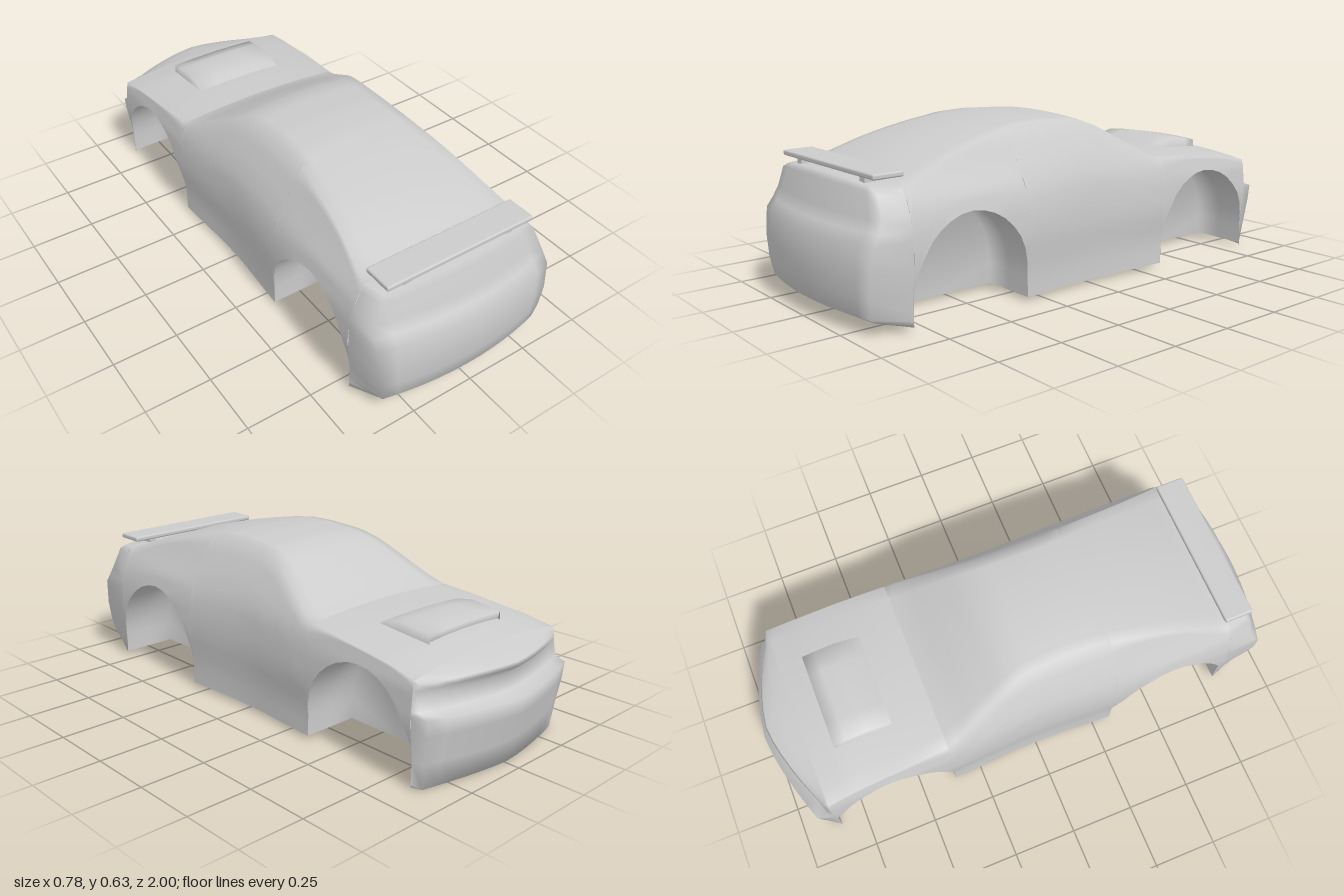
import * as THREE from 'three';
import { mergeGeometries, mergeVertices } from 'three/addons/utils/BufferGeometryUtils.js';
import { RoundedBoxGeometry } from 'three/addons/geometries/RoundedBoxGeometry.js';

// piecewise linear lookup in a list of [key, value...]
function lookup(table, k, c = 1) {
  if (k <= table[0][0]) return table[0][c];
  for (let i = 1; i < table.length; i++) {
    const a = table[i - 1], b = table[i];
    if (k <= b[0]) return a[c] + (b[c] - a[c]) * (k - a[0]) / (b[0] - a[0]);
  }
  return table[table.length - 1][c];
}

// skin through rows of [x, y, z] points
function skin(rows) {
  const n = rows[0].length, index = [];
  for (let i = 0; i < rows.length - 1; i++) {
    for (let j = 0; j < n - 1; j++) {
      const a = i * n + j, c = a + n;
      index.push(a, a + 1, c, a + 1, c + 1, c);
    }
  }
  const g = new THREE.BufferGeometry();
  g.setAttribute('position', new THREE.Float32BufferAttribute(rows.flat(2), 3));
  g.setIndex(index);
  g.computeVertexNormals();
  return g;
}

// half width of the body by height
const WIDTH = [[0, 0.376], [0.11, 0.372], [0.24, 0.388], [0.35, 0.38], [0.42, 0.36],
  [0.5, 0.31], [0.585, 0.262], [0.62, 0.235], [0.64, 0.225]];
// z, centreline height, height of the upper side edge
const TOP = [[-0.85, 0.41, 0.38], [-0.74, 0.435, 0.4], [-0.6, 0.445, 0.415], [-0.48, 0.452, 0.428],
  [-0.36, 0.455, 0.437], [-0.3, 0.485, 0.462], [-0.2, 0.545, 0.522], [-0.1, 0.6, 0.58], [-0.05, 0.618, 0.6],
  [0, 0.628, 0.612], [0.15, 0.635, 0.62], [0.27, 0.63, 0.615], [0.4, 0.61, 0.592],
  [0.5, 0.588, 0.57], [0.6, 0.563, 0.542], [0.7, 0.53, 0.505], [0.77, 0.502, 0.48], [0.8, 0.496, 0.475]];
const ARCHES = [{ z: -0.605, r: 0.245, h: 0.265 }, { z: 0.56, r: 0.24, h: 0.27 }];
const SILL = 0.02, SPRING = 0.1, INNER = 0.15, HALF = 6;

function halfWidth(y, z) {
  const pinch = 0.05 * Math.exp(-((z / 0.27) ** 2)) * THREE.MathUtils.clamp((0.5 - y) / 0.15, 0, 1);
  return lookup(WIDTH, y) * (1 - pinch);
}
const crown = t => 1 - t * t;

// rim of one wheel arch as [z, y]
function archRim({ z, r, h }) {
  const rim = [[z - r, SILL]];
  for (let i = 0; i <= 16; i++) {
    const a = Math.PI * (1 - i / 16);
    rim.push([z + r * Math.cos(a), SPRING + h * Math.sin(a)]);
  }
  rim.push([z + r, SILL]);
  return rim;
}

// cross-section over the car, from the left lower edge to the right one
function section(z, yLow) {
  const yc = lookup(TOP, z, 1), ye = lookup(TOP, z, 2), half = [];
  for (let i = 0; i < 10; i++) {
    const y = yLow + (ye - yLow) * i / 10;
    half.push([halfWidth(y, z), y, z]);
  }
  const w = halfWidth(ye, z);
  for (let i = 0; i < HALF; i++) {
    const t = 1 - i / HALF;
    half.push([w * t, ye + (yc - ye) * crown(t), z]);
  }
  return [...half, [0, yc, z], ...half.map(([x, y, q]) => [-x, y, q]).reverse()];
}

// end cap row: from the side wall, around the corner and across
function capRow(zSide, { y, z, w, set, rise = 0, ySide = y, bend = 1.5 }) {
  const row = [[halfWidth(ySide, zSide), ySide, zSide]];
  for (let i = -HALF; i <= HALF; i++) {
    const t = -i / HALF, a = Math.abs(t);
    row.push([w * t, y + rise * crown(t), z + set * a ** bend]);
  }
  row.push([-row[0][0], ySide, zSide]);
  return row;
}

function bodyShell() {
  // main body, with its lower edge following the wheel arches
  const stations = [];
  const [front, rear] = ARCHES.map(archRim);
  stations.push(...front);
  for (let z = -0.33; z < 0.31; z += 0.03) stations.push([z, SILL]);
  stations.push(...rear);
  const main = skin(stations.map(([z, y]) => section(z, y)));

  // nose: floor, bumper, grille recess, bonnet lip
  const nose = [
    { y: 0.02, z: -0.85, w: 0.376, set: 0 },
    { y: 0.005, z: -0.95, w: 0.35, set: 0.07, ySide: 0.01, rise: 0.008 },
    { y: 0.1, z: -0.965, w: 0.36, set: 0.075 },
    { y: 0.2, z: -0.99, w: 0.368, set: 0.085 },
    { y: 0.262, z: -1, w: 0.372, set: 0.09 },
    { y: 0.275, z: -0.945, w: 0.372, set: 0.075 },
    { y: 0.325, z: -0.925, w: 0.37, set: 0.065 },
    { y: 0.345, z: -0.972, w: 0.366, set: 0.11, rise: 0.02 },
    { y: 0.36, z: -0.965, w: 0.366, set: 0.107, rise: 0.018 },
    { y: 0.372, z: -0.91, w: 0.367, set: 0.053, rise: 0.022, ySide: 0.375 },
    { y: 0.38, z: -0.85, w: halfWidth(0.38, -0.85), set: 0, rise: 0.03 },
  ].map(r => capRow(-0.85, r));

  // tail: boot lid, rear panel, bumper, floor
  const tail = [
    { y: 0.475, z: 0.8, w: halfWidth(0.475, 0.8), set: 0, rise: 0.021 },
    { y: 0.474, z: 0.905, w: 0.308, set: -0.03, rise: 0.018, ySide: 0.465 },
    { y: 0.46, z: 0.925, w: 0.325, set: -0.035, rise: 0.015, ySide: 0.45 },
    { y: 0.385, z: 0.942, w: 0.36, set: -0.045, ySide: 0.39 },
    { y: 0.345, z: 0.965, w: 0.37, set: -0.05 },
    { y: 0.31, z: 0.995, w: 0.372, set: -0.055 },
    { y: 0.21, z: 1, w: 0.366, set: -0.05 },
    { y: 0.13, z: 0.993, w: 0.355, set: -0.045 },
    { y: 0.065, z: 0.98, w: 0.34, set: -0.04 },
    { y: 0.05, z: 0.95, w: 0.335, set: -0.03, ySide: 0.04 },
    { y: SILL, z: 0.8, w: halfWidth(SILL, 0.8), set: 0 },
  ].map(r => capRow(0.8, { bend: 2, ...r }));

  const g = mergeGeometries([main, skin(nose), skin(tail)]);
  g.deleteAttribute('normal');
  const welded = mergeVertices(g, 1e-4);
  welded.computeVertexNormals();
  return welded;
}

// wheel housing: rim carried inward, closed by a fan on the inner wall
function wheelHousing(arch, side) {
  const rim = archRim(arch);
  const rows = [1, 0.5, 0].map(k => rim.map(([z, y]) =>
    [side * (INNER + (halfWidth(y, z) - INNER) * k), y, z]));
  rows.push(rim.map(() => [side * INNER, SILL, arch.z]));
  if (side < 0) rows.reverse();
  const g = skin(rows);
  g.deleteAttribute('normal');
  const welded = mergeVertices(g, 1e-4);
  welded.computeVertexNormals();
  return welded;
}

export function createModel() {
  const car = new THREE.Group();
  car.name = 'carBody';
  const paint = new THREE.MeshStandardMaterial({ color: 0xcccccc, side: THREE.DoubleSide });
  const add = (name, geometry, x = 0, y = 0, z = 0) => {
    const mesh = new THREE.Mesh(geometry, paint);
    mesh.name = name;
    mesh.position.set(x, y, z);
    car.add(mesh);
    return mesh;
  };

  add('bodyShell', bodyShell());

  // underside: wide between the axles, narrow between the wheels
  const across = (w, z) => [[-w, SILL, z], [w, SILL, z]];
  add('floorSpine', skin([across(INNER, -0.85), across(INNER, 0.8)]));
  for (const side of [-1, 1]) {
    const rows = [];
    for (let i = 0; i <= 12; i++) {
      const z = -0.36 + 0.68 * i / 12, w = halfWidth(SILL, z);
      rows.push(side > 0 ? [[INNER, SILL, z], [w, SILL, z]] : [[-w, SILL, z], [-INNER, SILL, z]]);
    }
    add(side > 0 ? 'leftFloor' : 'rightFloor', skin(rows));
    ARCHES.forEach((arch, i) => add(
      (side > 0 ? 'left' : 'right') + (i ? 'Rear' : 'Front') + 'WheelHousing', wheelHousing(arch, side)));
  }

  // bonnet scoop, open edge towards the nose
  const scoop = [[-0.735, 0.42], [-0.75, 0.458], [-0.7, 0.466], [-0.62, 0.474], [-0.56, 0.462], [-0.52, 0.446]];
  add('bonnetScoop', skin(scoop.map(([z, y]) => [
    [0.19, 0.415, z], [0.185, y - 0.004, z], [0.1, y, z], [0, y + 0.002, z],
    [-0.1, y, z], [-0.185, y - 0.004, z], [-0.19, 0.415, z]])));

  // rear wing on two posts
  add('rearWing', new RoundedBoxGeometry(0.62, 0.02, 0.115, 2, 0.007), 0, 0.513, 0.838);
  for (const side of [-1, 1]) {
    add('wingPost', new THREE.BoxGeometry(0.03, 0.035, 0.08), side * 0.215, 0.492, 0.84);
  }
  return car;
}
